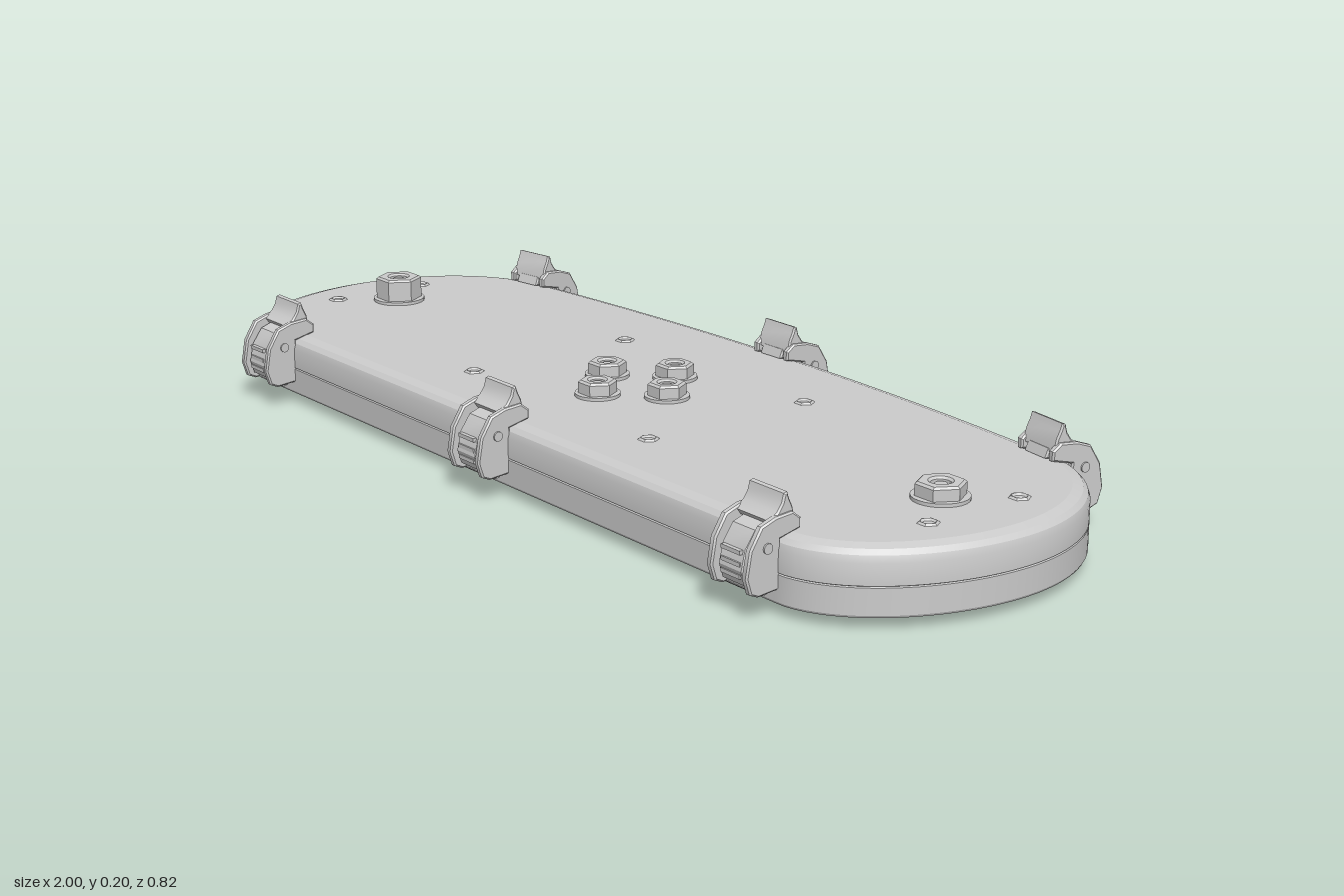
import * as THREE from 'three';
import { toCreasedNormals } from 'three/addons/utils/BufferGeometryUtils.js';

const material = new THREE.MeshStandardMaterial({ color: 0xcccccc, side: THREE.DoubleSide });
const CENTRE_Z = 0.02;

function add(parent, name, geometry, x = 0, y = 0, z = 0) {
  const mesh = new THREE.Mesh(geometry, material);
  mesh.name = name;
  mesh.position.set(x, y, z);
  parent.add(mesh);
  return mesh;
}

// Plan outline as (x, -z), counter-clockwise: straight front, round ends, bowed back
function outlinePoints() {
  const s = new THREE.Shape();
  s.moveTo(-0.79, -0.345);
  s.lineTo(0.79, -0.345);
  s.bezierCurveTo(0.91, -0.33, 1, -0.18, 1, -0.02);
  s.bezierCurveTo(1, 0.14, 0.9, 0.28, 0.76, 0.305);
  s.quadraticCurveTo(0, 0.395, -0.76, 0.305);
  s.bezierCurveTo(-0.9, 0.28, -1, 0.14, -1, -0.02);
  s.bezierCurveTo(-1, -0.18, -0.91, -0.33, -0.79, -0.345);
  return s.getSpacedPoints(240).slice(0, 240);
}
const outline = outlinePoints();

// Extra inset that makes the inner skirt wave around the latch positions
const scallop = (x) => [-0.74, 0, 0.74].reduce((t, c) => t + 0.035 * Math.exp(-(((x - c) / 0.085) ** 4)), 0);

function insetLoop(inset, wavy) {
  const n = outline.length;
  return outline.map((p, i) => {
    const a = outline[(i + n - 2) % n], b = outline[(i + 2) % n];
    const d = b.clone().sub(a).normalize();
    const t = inset + (wavy ? scallop(p.x) : 0);
    return new THREE.Vector2(p.x - d.y * t, p.y + d.x * t);
  });
}

// Wall surface from rows of [inset, y, wavy]
function loft(rows) {
  const n = outline.length, pos = [], index = [];
  rows.forEach(([inset, y, wavy]) => insetLoop(inset, wavy).forEach((p) => pos.push(p.x, y, -p.y)));
  for (let i = 0; i < rows.length - 1; i++) {
    for (let j = 0; j < n; j++) {
      const k = (j + 1) % n, a = i * n + j, b = i * n + k, c = a + n, d = b + n;
      index.push(a, b, d, a, d, c);
    }
  }
  const g = new THREE.BufferGeometry();
  g.setAttribute('position', new THREE.Float32BufferAttribute(pos, 3));
  g.setIndex(index);
  return toCreasedNormals(g, 0.45);
}

const plate = (inset, wavy) => new THREE.ShapeGeometry(new THREE.Shape(insetLoop(inset, wavy))).rotateX(-Math.PI / 2);

// Side profile in (outward, up), extruded to a width centred on x = 0
function sideExtrude(points, width, bevel = 0) {
  const shape = new THREE.Shape(points.map(([a, b]) => new THREE.Vector2(a, b)));
  const g = new THREE.ExtrudeGeometry(shape, {
    depth: width - 2 * bevel, bevelEnabled: bevel > 0, bevelSize: bevel, bevelThickness: bevel,
    bevelOffset: -bevel, bevelSegments: 1,
  });
  return toCreasedNormals(g.rotateY(-Math.PI / 2).translate(width / 2 - bevel, 0, 0), 0.5);
}

// Vertical prism with a bore
function nut(radius, bore, height, sides) {
  const s = new THREE.Shape();
  for (let i = 0; i < sides; i++) {
    const a = (i / sides) * Math.PI * 2;
    s[i ? 'lineTo' : 'moveTo'](radius * Math.cos(a), radius * Math.sin(a));
  }
  s.closePath();
  s.holes.push(new THREE.Path().absarc(0, 0, bore, 0, Math.PI * 2, true));
  const b = 0.004;
  const g = new THREE.ExtrudeGeometry(s, {
    depth: height - b, bevelThickness: b, bevelSize: b, bevelOffset: -b, bevelSegments: 1, curveSegments: 12,
  });
  return toCreasedNormals(g.rotateX(-Math.PI / 2), 0.5);
}

function makeLatch() {
  const latch = new THREE.Group();
  latch.name = 'latch';
  const arm = [
    [-0.012, 0.045], [0.039, 0.04], [0.055, 0.047], [0.064, 0.075], [0.056, 0.12], [0.034, 0.155],
    [0.005, 0.165], [-0.03, 0.168], [-0.047, 0.155], [-0.047, 0.138], [-0.022, 0.132], [-0.005, 0.128],
  ];
  for (const side of [-1, 1]) add(latch, 'latchSidePlate', sideExtrude(arm, 0.014, 0.003), side * 0.043);
  const web = [
    [0, 0.06], [0.048, 0.055], [0.056, 0.08], [0.048, 0.115], [0.028, 0.143], [0, 0.153],
    [-0.04, 0.155], [-0.047, 0.138], [-0.005, 0.13],
  ];
  add(latch, 'latchBody', sideExtrude(web, 0.06, 0.003));
  const lip = [
    [-0.04, 0.15], [-0.035, 0.174], [-0.028, 0.188], [-0.024, 0.2], [-0.017, 0.198],
    [-0.013, 0.183], [-0.004, 0.17], [0.012, 0.158], [0.005, 0.148],
  ];
  add(latch, 'latchThumbLip', sideExtrude(lip, 0.088, 0.003));
  for (const y of [0.07, 0.09, 0.11]) {
    add(latch, 'latchGripRidge', new THREE.BoxGeometry(0.046, 0.007, 0.012), 0, y, 0.05);
  }
  add(latch, 'latchPivotPin', new THREE.CylinderGeometry(0.009, 0.009, 0.106, 12).rotateZ(Math.PI / 2), 0, 0.118, 0.022);
  add(latch, 'latchHinge', new THREE.CylinderGeometry(0.014, 0.014, 0.08, 12).rotateZ(Math.PI / 2), 0, 0.05, 0.02);
  return latch;
}

export function createModel() {
  const model = new THREE.Group();
  model.name = 'latchedLid';

  // Hollow shell: inner wall, skirt, seal groove, outer wall and rounded top edge
  const shell = new THREE.Group();
  shell.name = 'lidShell';
  model.add(shell);
  add(shell, 'lidWall', loft([
    [0.085, 0.118, 1], [0.075, 0, 1], [0.055, 0, 1], [0.055, 0.03, 1], [0.046, 0.055], [0.022, 0.055],
    [0.022, 0.02], [0.002, 0.02], [0, 0.024], [0, 0.07], [0.003, 0.0715], [0, 0.073], [0, 0.11],
    [0.004, 0.122], [0.012, 0.13], [0.03, 0.135],
  ]));
  add(shell, 'lidTop', plate(0.03, false), 0, 0.135);
  add(shell, 'lidCeiling', plate(0.085, true).scale(1, -1, 1), 0, 0.118);

  // Latches: three on the straight front, three on the bowed back
  const places = [[-0.732, 0.345, 0], [0, 0.345, 0], [0.732, 0.345, 0],
    [0, -0.35, Math.PI], [-0.75, -0.306, Math.PI + 0.14], [0.75, -0.306, Math.PI - 0.14]];
  for (const [x, z, turn] of places) {
    const latch = makeLatch();
    latch.position.set(x, 0, z);
    latch.rotation.y = turn;
    model.add(latch);
  }

  // Hex nuts: four round the middle, one at each end
  const hardware = new THREE.Group();
  hardware.name = 'hardware';
  model.add(hardware);
  const studs = [[0.09, 0], [-0.09, 0], [0, 0.09], [0, -0.09]].map(([x, z]) => [x, z + CENTRE_Z, 0.036, 0.165]);
  studs.push([-0.805, CENTRE_Z, 0.046, 0.185], [0.805, CENTRE_Z, 0.044, 0.165]);
  for (const [x, z, r, top] of studs) {
    add(hardware, 'washer', new THREE.CylinderGeometry(r + 0.006, r + 0.006, 0.008, 24), x, 0.137, z);
    add(hardware, 'hexNut', nut(r, r * 0.4, top - 0.135, 6), x, 0.135, z);
    add(hardware, 'studEnd', new THREE.CylinderGeometry(r * 0.25, r * 0.25, 0.03, 12), x, top - 0.02, z);
    add(hardware, 'innerBoss', nut(r * 0.75, r * 0.35, 0.09, 20), x, 0.03, z);
    add(hardware, 'innerNut', nut(r * 0.95, r * 0.4, 0.025, 6), x, 0.02, z);
  }

  // Small flush screws on the top, with bosses beneath
  for (const side of [-1, 1]) {
    for (const [x, z] of [[0.267, -0.157], [0.267, 0.2], [0.882, -0.083], [0.882, 0.12]]) {
      add(hardware, 'smallScrew', nut(0.02, 0.009, 0.004, 6), side * x, 0.1345, z);
      add(hardware, 'smallBoss', nut(0.022, 0.009, 0.06, 14), side * x, 0.06, z);
    }
  }

  // Triangulated stiffening ribs under the ceiling, mirrored left to right
  const ribs = new THREE.Group();
  ribs.name = 'stiffeningRibs';
  model.add(ribs);
  const pattern = [
    [0.19, -0.12, 0.53, -0.12], [0.19, 0.16, 0.53, 0.16], [0.19, -0.12, 0.19, 0.16], [0.53, -0.12, 0.53, 0.16],
    [0.09, 0.02, 0.19, -0.12], [0.09, 0.02, 0.19, 0.16], [0, -0.07, 0.19, -0.12], [0, 0.11, 0.19, 0.16],
    [0, -0.07, 0.09, 0.02], [0, 0.11, 0.09, 0.02], [0.19, -0.12, 0.1, -0.255], [0.19, -0.12, 0.34, -0.25],
    [0.53, -0.12, 0.36, -0.25], [0.53, -0.12, 0.62, -0.22], [0.19, 0.16, 0.1, 0.265], [0.19, 0.16, 0.34, 0.265],
    [0.53, 0.16, 0.36, 0.265], [0.53, 0.16, 0.62, 0.255], [0.53, -0.12, 0.77, 0.02], [0.53, 0.16, 0.77, 0.02],
    [0.82, 0.02, 0.882, -0.083], [0.82, 0.02, 0.882, 0.12], [0.805, 0, 0.74, -0.2], [0.805, 0.04, 0.74, 0.23],
  ];
  for (const side of [-1, 1]) {
    for (const [x1, z1, x2, z2] of pattern) {
      const dx = side * (x2 - x1), dz = z2 - z1;
      const rib = add(ribs, 'rib', new THREE.BoxGeometry(Math.hypot(dx, dz), 0.07, 0.012),
        side * (x1 + x2) / 2, 0.085, (z1 + z2) / 2);
      rib.rotation.y = -Math.atan2(dz, dx);
    }
    // Flat pad with four pegs between the ribs
    add(ribs, 'mountingPad', new THREE.BoxGeometry(0.33, 0.01, 0.27), side * 0.36, 0.113, CENTRE_Z);
    for (const px of [-0.08, 0.08]) {
      for (const pz of [-0.07, 0.07]) {
        add(ribs, 'padPeg', new THREE.CylinderGeometry(0.008, 0.008, 0.015, 10), side * 0.36 + px, 0.102, CENTRE_Z + pz);
      }
    }
  }
  return model;
}
